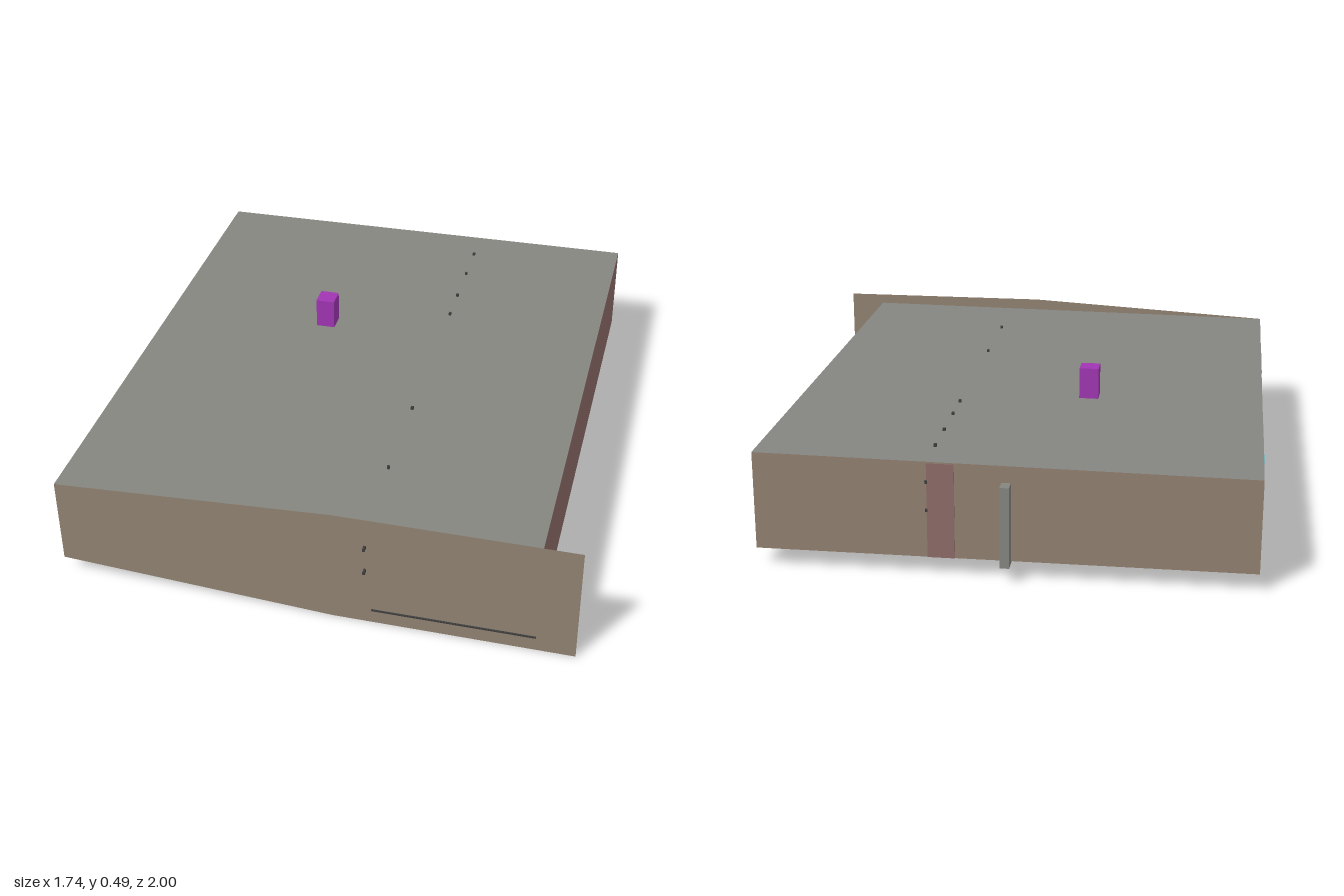
import * as THREE from 'three';

const paint = (name, color) =>
  new THREE.MeshStandardMaterial({ name, color, side: THREE.DoubleSide });

export function createModel() {
  const grey = paint('slab grey', 0x858580);
  const tan = paint('wall tan', 0x918271);
  const red = paint('partition red', 0x8c6c68);
  const purple = paint('chimney purple', 0xa035b2);
  const teal = paint('window teal', 0x3cadb8);
  const dark = paint('fixing dark', 0x3c3c3c);
  const model = new THREE.Group();
  model.name = 'building';

  const add = (name, geometry, material) => {
    const mesh = new THREE.Mesh(geometry, material);
    mesh.name = name;
    model.add(mesh);
    return mesh;
  };

  // box given by its two corners
  const box = (name, material, x0, x1, y0, y1, z0, z1) =>
    add(name, new THREE.BoxGeometry(x1 - x0, y1 - y0, z1 - z0), material)
      .position.set((x0 + x1) / 2, (y0 + y1) / 2, (z0 + z1) / 2);

  // flat four-cornered face, corners anticlockwise from outside
  const quad = (name, material, a, b, c, d) => {
    const g = new THREE.BufferGeometry();
    g.setAttribute('position', new THREE.Float32BufferAttribute([a, b, c, d].flat(), 3));
    g.setIndex([0, 1, 2, 0, 2, 3]);
    g.computeVertexNormals();
    return add(name, g, material);
  };

  // shell: left side is slightly lower than the right
  const L = -0.87, R = 0.74, B = -0.955, F = 0.98, floor = 0.06, topL = 0.371, topR = 0.387;
  quad('roof', grey, [L, topL, F], [R, topR, F], [R, topR, B], [L, topL, B]);
  quad('floor', grey, [L, floor, B], [R, floor, B], [R, floor, F], [L, floor, F]);
  quad('sideWall', red, [R, floor, F], [R, floor, B], [R, topR, B], [R, topR, F]);
  quad('windowWall', tan, [L, floor, B], [L, floor, F], [L, topL, F], [L, topL, B]);
  quad('backWall', tan, [R, floor, B], [L, floor, B], [L, topL, B], [R, topR, B]);

  // front wall rises above the roof and reaches past the side
  const front = new THREE.Shape([
    [L, 0.061], [0.07, 0.002], [0.87, 0], [0.87, 0.423], [0.07, 0.423], [L, 0.371],
  ].map(p => new THREE.Vector2(...p)));
  add('frontWall', new THREE.ShapeGeometry(front), tan).position.z = F + 0.001;

  // partition end showing on the back wall
  box('backPanel', red, 0.09, 0.178, floor, 0.377, B - 0.003, B + 0.003);

  // interior walls that reach just through the floor and back wall
  box('crossWall', grey, -0.09, -0.06, 0.053, 0.323, -1, -0.33);
  box('innerWall', grey, -0.09, 0.16, 0.053, 0.323, -0.245, -0.228);
  box('shortWall', grey, 0.08, 0.19, 0.057, 0.323, 0.037, 0.043);
  box('frontSill', dark, 0.2, R, 0.053, 0.057, F - 0.05, F + 0.007);

  box('chimney', purple, -0.297, -0.23, 0.035, 0.486, -0.225, -0.155);

  // windows: a wide middle light between side lights, with upper lights
  for (const [z0, z1] of [[-0.66, -0.275], [0.345, 0.725]]) {
    const w = z1 - z0, zs = [z0, z0 + w * 0.36, z0 + w * 0.74, z1];
    for (let i = 0; i < 3; i++) {
      box('windowPane', teal, L - 0.004, L + 0.004, 0.145, 0.262, zs[i], zs[i + 1]);
      box('upperPane', teal, L - 0.004, L + 0.004, 0.262, 0.328, zs[i], zs[i + 1]);
    }
  }

  // small fixings along the roof and through the end walls
  for (const z of [-0.81, -0.65, -0.48, -0.34, 0.3, 0.65])
    box('roofPin', dark, 0.171, 0.18, 0.37, 0.391, z - 0.005, z + 0.005);
  for (const y of [0.22, 0.315]) {
    box('frontPin', dark, 0.175, 0.183, y - 0.005, y + 0.005, F - 0.01, 1);
    box('backPin', dark, 0.175, 0.183, y - 0.005, y + 0.005, B - 0.007, B + 0.01);
  }
  return model;
}
